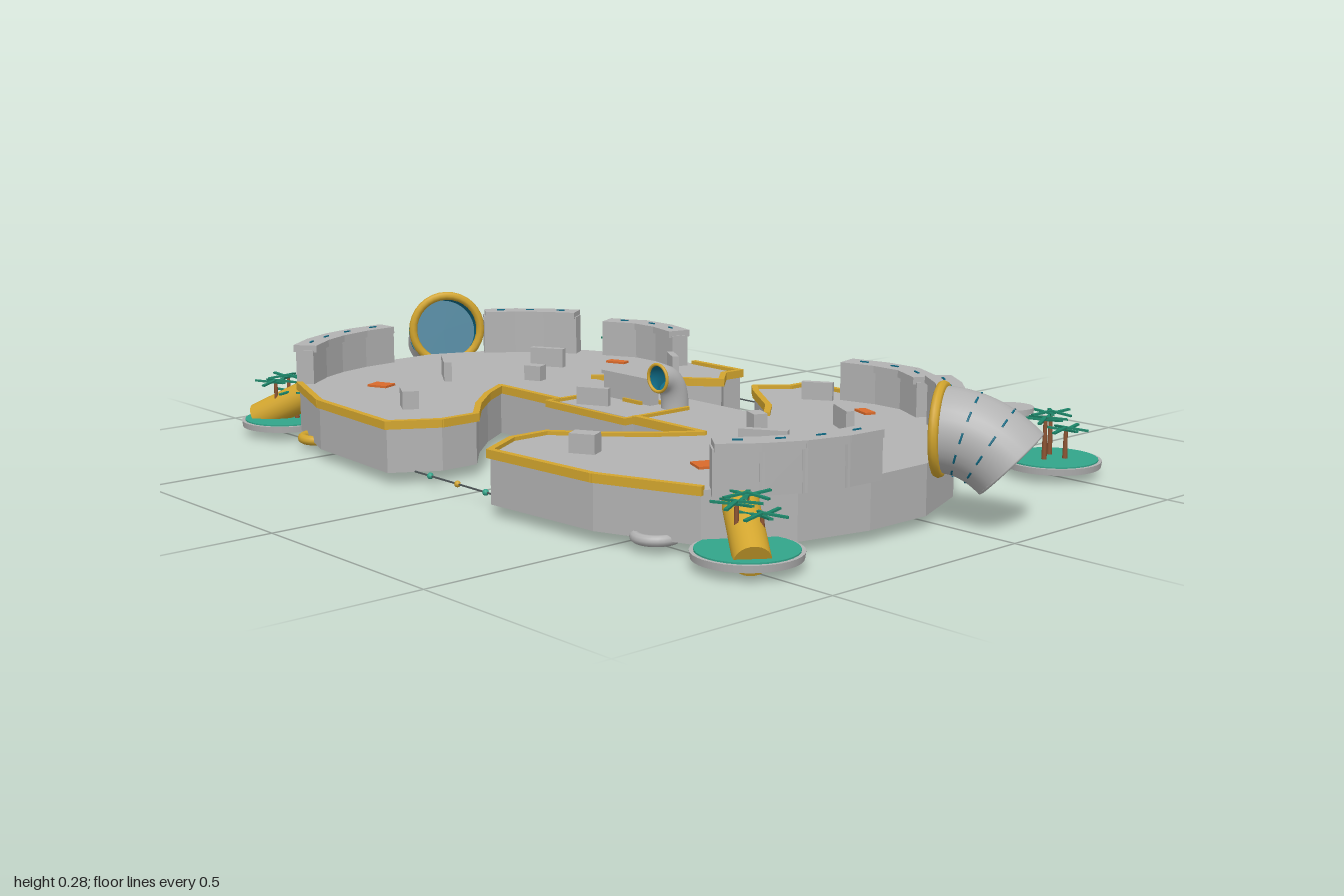
import * as THREE from 'three';

const mat = (name, color, side = THREE.FrontSide) => {
  const m = new THREE.MeshStandardMaterial({ color, side });
  m.name = name;
  return m;
};

export function createModel() {
  const grey = mat('stone grey', 0xb2b2b2);
  const yellow = mat('trim yellow', 0xd2a52e);
  const teal = mat('deep teal', 0x0f6a85, THREE.DoubleSide);
  const green = mat('island green', 0x32a58a);
  const leafGreen = mat('leaf green', 0x1c8468);
  const brown = mat('trunk brown', 0x8c5432);
  const orange = mat('marker orange', 0xd96a2b);
  const dark = mat('rope dark', 0x50585a);

  const root = new THREE.Group();
  root.name = 'arena';

  const add = (name, geo, material, x = 0, y = 0, z = 0, parent = root) => {
    const m = new THREE.Mesh(geo, material);
    m.name = name;
    m.position.set(x, y, z);
    parent.add(m);
    return m;
  };
  const box = (name, material, w, h, d, x, y, z, turn = 0, parent = root) => {
    const m = add(name, new THREE.BoxGeometry(w, h, d), material, x, y, z, parent);
    m.rotation.y = turn;
    return m;
  };
  const cyl = (name, material, r1, r2, h, x, y, z, parent = root, n = 24) =>
    add(name, new THREE.CylinderGeometry(r1, r2, h, n), material, x, y, z, parent);
  const aim = (m, from, dir) => m.quaternion.setFromUnitVectors(from, dir);
  const Y = new THREE.Vector3(0, 1, 0), Z = new THREE.Vector3(0, 0, 1);
  const flip = pts => pts.map(([x, z]) => [-x, z]);

  // A run of boxes along a ground path, from y0 to y1
  const run = (name, material, pts, width, y0, y1, overlap = width * 0.5) => {
    for (let i = 0; i < pts.length - 1; i++) {
      const [ax, az] = pts[i], [bx, bz] = pts[i + 1];
      box(name, material, Math.hypot(bx - ax, bz - az) + overlap, y1 - y0, width,
        (ax + bx) / 2, (y0 + y1) / 2, (az + bz) / 2, -Math.atan2(bz - az, bx - ax));
    }
  };

  // Main platform, drawn as one half and mirrored
  const half = [[0.29, -0.05], [0.235, -0.11], [0.1, -0.205], [0.055, -0.245], [0.11, -0.305],
    [0.11, -0.36], [0.44, -0.36], [0.6, -0.29], [0.75, -0.12], [0.815, 0.04], [0.815, 0.2],
    [0.78, 0.36], [0.68, 0.51], [0.47, 0.59], [0.18, 0.61], [0.12, 0.51], [0.12, 0.42],
    [0.205, 0.35], [0.285, 0.265], [0.34, 0.185]];
  const outline = [...half, ...flip(half).reverse()];
  const shape = new THREE.Shape(outline.map(([x, z]) => new THREE.Vector2(x, -z)));
  const slab = new THREE.ExtrudeGeometry(shape, { depth: 0.105, bevelEnabled: false });
  add('platform', slab.rotateX(-Math.PI / 2), grey, 0, 0.025, 0);

  // Balcony in the middle of the bridge, with a yellow frame
  box('balcony', grey, 0.25, 0.1, 0.08, 0, 0.076, 0.178);
  run('balconyFrame', yellow,
    [[-0.13, 0.035], [0.13, 0.035], [0.13, 0.215], [-0.13, 0.215], [-0.13, 0.035]], 0.01, 0.122, 0.137);
  box('bridgeBarrier', grey, 0.155, 0.055, 0.025, -0.033, 0.157, 0.055);
  box('barrierCap', grey, 0.165, 0.008, 0.032, -0.033, 0.186, 0.055);
  box('barrierStripe', yellow, 0.06, 0.008, 0.006, -0.005, 0.134, 0.075);
  box('bridgeSlab', grey, 0.075, 0.04, 0.015, -0.05, 0.149, 0.15, 0.46);

  // Curved parapet walls with overhanging caps
  const walls = [
    { top: 0.217, pts: [[0.28, -0.315], [0.36, -0.335], [0.44, -0.335], [0.52, -0.295]] },
    { top: 0.235, pts: [[0.595, -0.25], [0.66, -0.205], [0.715, -0.15], [0.755, -0.09]] },
    { top: 0.22, pts: [[0.802, 0.185], [0.797, 0.265], [0.775, 0.35], [0.74, 0.42], [0.69, 0.485]] },
  ];
  for (const { top, pts } of walls) {
    for (const p of [pts, flip(pts)]) {
      run('wall', grey, p, 0.042, 0.12, top - 0.012, 0.015);
      run('wallCap', grey, p, 0.056, top - 0.016, top, 0.008);
      // Small seam marks on the caps
      for (let i = 0; i < p.length - 1; i++) {
        const [ax, az] = p[i], [bx, bz] = p[i + 1];
        box('seamMark', teal, 0.02, 0.003, 0.004, (ax + bx) / 2, top + 0.001, (az + bz) / 2,
          -Math.atan2(bz - az, bx - ax));
      }
    }
  }

  // Yellow edging wherever the edge has no wall
  for (const p of [half.slice(0, 6).concat([[0.27, -0.36]]), half.slice(12),
    [[0.34, 0.185], [0.13, 0.185]]]) {
    run('edgeTrim', yellow, p, 0.014, 0.12, 0.138, 0.008);
    run('edgeTrim', yellow, flip(p), 0.014, 0.12, 0.138, 0.008);
  }

  // Cover blocks and orange floor markers: x, z, length, width, height, turn
  const blocks = [[0.53, 0.2, 0.1, 0.018, 0.045, 0.56], [0.49, -0.075, 0.085, 0.018, 0.045, -0.5],
    [0.37, 0.06, 0.042, 0.03, 0.035, -0.4], [0.3, 0.467, 0.055, 0.036, 0.04, 0.5],
    [0.24, -0.26, 0.07, 0.016, 0.04, 0.55]];
  const markers = [[0.41, -0.23, 0.05, 0.025, -0.35], [0.545, 0.375, 0.05, 0.04, -0.4]];
  for (const s of [1, -1]) {
    for (const [x, z, l, w, h, t] of blocks)
      box('coverBlock', grey, l, h, w, s * x, 0.13 + h / 2, z, s * t);
    for (const [x, z, l, w, t] of markers)
      box('floorMarker', orange, l, 0.005, w, s * x, 0.1325, z, s * t);
  }

  // Bent pipe: grey shell, teal lining, yellow mouth ring
  const elbow = (name, a, b, c, r, mouthAt, dashes) => {
    const g = new THREE.Group();
    g.name = name;
    const path = new THREE.QuadraticBezierCurve3(
      new THREE.Vector3(...a), new THREE.Vector3(...b), new THREE.Vector3(...c));
    const ring = (label, material, t, radius, tube, arc = Math.PI * 2, roll = 0) => {
      const geo = new THREE.TorusGeometry(radius, tube, 8, arc < 6 ? 4 : 32, arc).rotateZ(roll);
      const p = path.getPoint(t);
      return aim(add(label, geo, material, p.x, p.y, p.z, g), Z, path.getTangent(t));
    };
    add('pipeShell', new THREE.TubeGeometry(path, 14, r, 28), grey, 0, 0, 0, g);
    add('pipeLining', new THREE.TubeGeometry(path, 14, r * 0.93, 28), teal, 0, 0, 0, g);
    const mid = path.getPoint(0.5);
    aim(add('pipeBack', new THREE.CircleGeometry(r * 0.93, 28), teal, mid.x, mid.y, mid.z, g),
      Z, path.getTangent(0.5));
    ring('mouthRing', yellow, mouthAt, r, r * 0.12);
    ring('endRing', grey, 1 - mouthAt, r * 0.965, r * 0.04);
    if (dashes) for (const t of [0.35, 0.68]) for (let k = 0; k < 12; k++)
      ring('seamDash', teal, t, r, 0.002, 0.25, k * Math.PI / 6);
    root.add(g);
    return g;
  };
  for (const s of [1, -1]) {
    const pipe = elbow('largePipe', [0, 0, 0], [0.075, 0, 0], [0.136, -0.058, 0], 0.085, 0, true);
    pipe.position.set(s * 0.81, 0.19, -0.005);
    pipe.rotation.y = s > 0 ? 0.51 : Math.PI - 0.51;
  }
  elbow('smallPipe', [0.095, 0.12, 0.04], [0.095, 0.202, 0.035], [0.095, 0.202, 0.09], 0.03, 1, false);

  // Palm tree with a star of thin leaves
  const palm = (x, z, h, turn, parent) => {
    cyl('palmTrunk', brown, 0.004, 0.006, h, x, 0.03 + h / 2, z, parent, 8);
    for (let k = 0; k < 6; k++) {
      const a = turn + k * Math.PI / 3;
      const leaf = box('palmLeaf', leafGreen, 0.048, 0.004, 0.008,
        x + Math.cos(a) * 0.024, 0.03 + h, z - Math.sin(a) * 0.024, a, parent);
      leaf.rotation.order = 'YXZ';
      leaf.rotation.z = k % 2 ? 0.12 : -0.12;
    }
  };
  const island = (x, z) => {
    const g = new THREE.Group();
    g.name = 'island';
    g.position.set(x, 0, z);
    cyl('islandRim', grey, 0.106, 0.104, 0.014, 0, 0.027, 0, g, 32);
    cyl('islandGrass', green, 0.098, 0.098, 0.004, 0, 0.035, 0, g, 32);
    palm(-0.022, -0.02, 0.1, 0.2, g);
    palm(0.025, -0.012, 0.072, 0.6, g);
    palm(0.0, 0.028, 0.096, 0.9, g);
    root.add(g);
  };

  for (const s of [1, -1]) {
    island(s * 0.698, -0.513);
    island(s * 0.778, 0.487);

    // Lookout tower beside each back island
    cyl('tower', grey, 0.036, 0.04, 0.1, s * 0.598, 0.075, -0.498);
    cyl('towerCap', grey, 0.047, 0.047, 0.012, s * 0.598, 0.13, -0.498);

    // Yellow slide running down to each front island
    const a = new THREE.Vector3(s * 0.715, 0.105, 0.445), b = new THREE.Vector3(s * 0.835, 0.032, 0.53);
    const m = a.clone().add(b).multiplyScalar(0.5);
    const len = a.distanceTo(b);
    const dir = a.clone().sub(b).normalize();
    aim(cyl('slide', yellow, 0.035, 0.035, len, m.x, m.y, m.z), Y, dir);
    aim(add('slideRing', new THREE.TorusGeometry(0.034, 0.004, 8, 24), yellow, a.x, a.y, a.z), Z, dir);

    // Float rings lying flat, one colour on each side
    const places = [[s * 0.44, -0.468, s > 0 ? yellow : grey], [s * 0.575, 0.525, s > 0 ? grey : yellow]];
    for (const [x, z, c] of places)
      add('floatRing', new THREE.TorusGeometry(0.04, 0.011, 10, 28).rotateX(Math.PI / 2), c, x, 0.026, z);
  }

  // Beaded float ropes at the back and front
  for (const z of [-0.5, 0.56]) {
    box('rope', dark, 0.97, 0.003, 0.003, 0, 0.026, z);
    for (let i = -5; i <= 5; i++)
      add('ropeBead', new THREE.SphereGeometry(0.007, 10, 8), i % 2 ? green : yellow, i * 0.096, 0.026, z);
  }
  return root;
}
